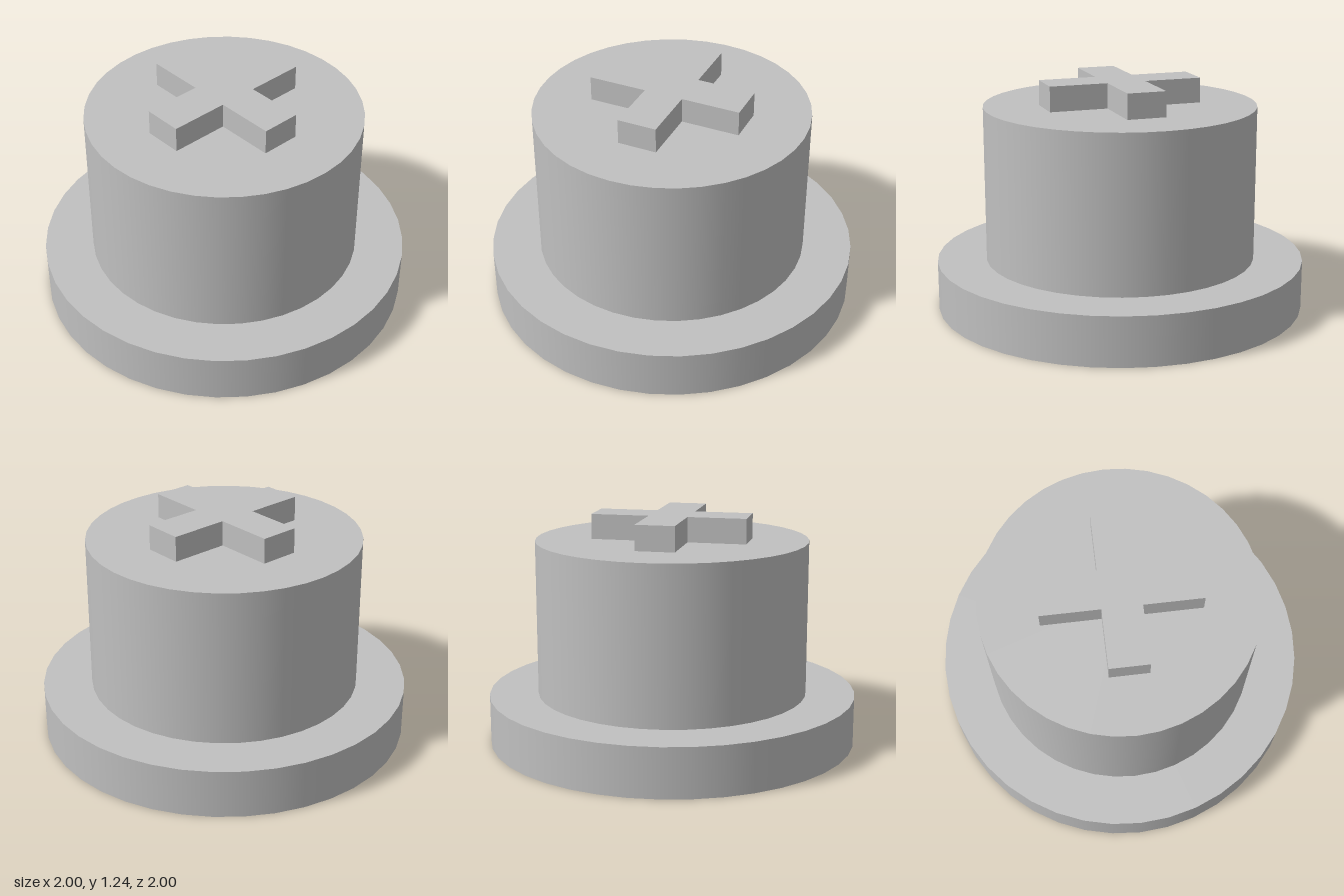
import * as THREE from 'three';

export function createModel() {
  const model = new THREE.Group();
  model.name = 'plug';
  const grey = new THREE.MeshStandardMaterial({ color: 0xc0c0c0 });
  grey.name = 'light grey';

  const baseTop = 0.265, bodyTop = 1.105, crossTop = 1.24;

  const addPart = (name, geometry, y) => {
    const mesh = new THREE.Mesh(geometry, grey);
    mesh.name = name;
    mesh.position.y = y;
    model.add(mesh);
  };
  const addDisc = (name, radius, bottom, top) =>
    addPart(name, new THREE.CylinderGeometry(radius, radius, top - bottom, 40), (bottom + top) / 2);

  // Wide base flange and narrower round body
  addDisc('baseFlange', 1, 0, baseTop);
  addDisc('body', 0.735, baseTop, bodyTop);

  // Raised cross: one corner outline turned through four quarters
  const arm = 0.42, half = 0.105;
  const points = [];
  for (let i = 0; i < 4; i++) {
    for (const [x, y] of [[arm, -half], [arm, half], [half, half]]) {
      points.push(new THREE.Vector2(x, y).rotateAround(new THREE.Vector2(), i * Math.PI / 2));
    }
  }
  const cross = new THREE.ExtrudeGeometry(new THREE.Shape(points), {
    depth: crossTop - bodyTop, bevelEnabled: false,
  });
  cross.rotateX(-Math.PI / 2);
  addPart('raisedCross', cross, bodyTop);

  return model;
}
